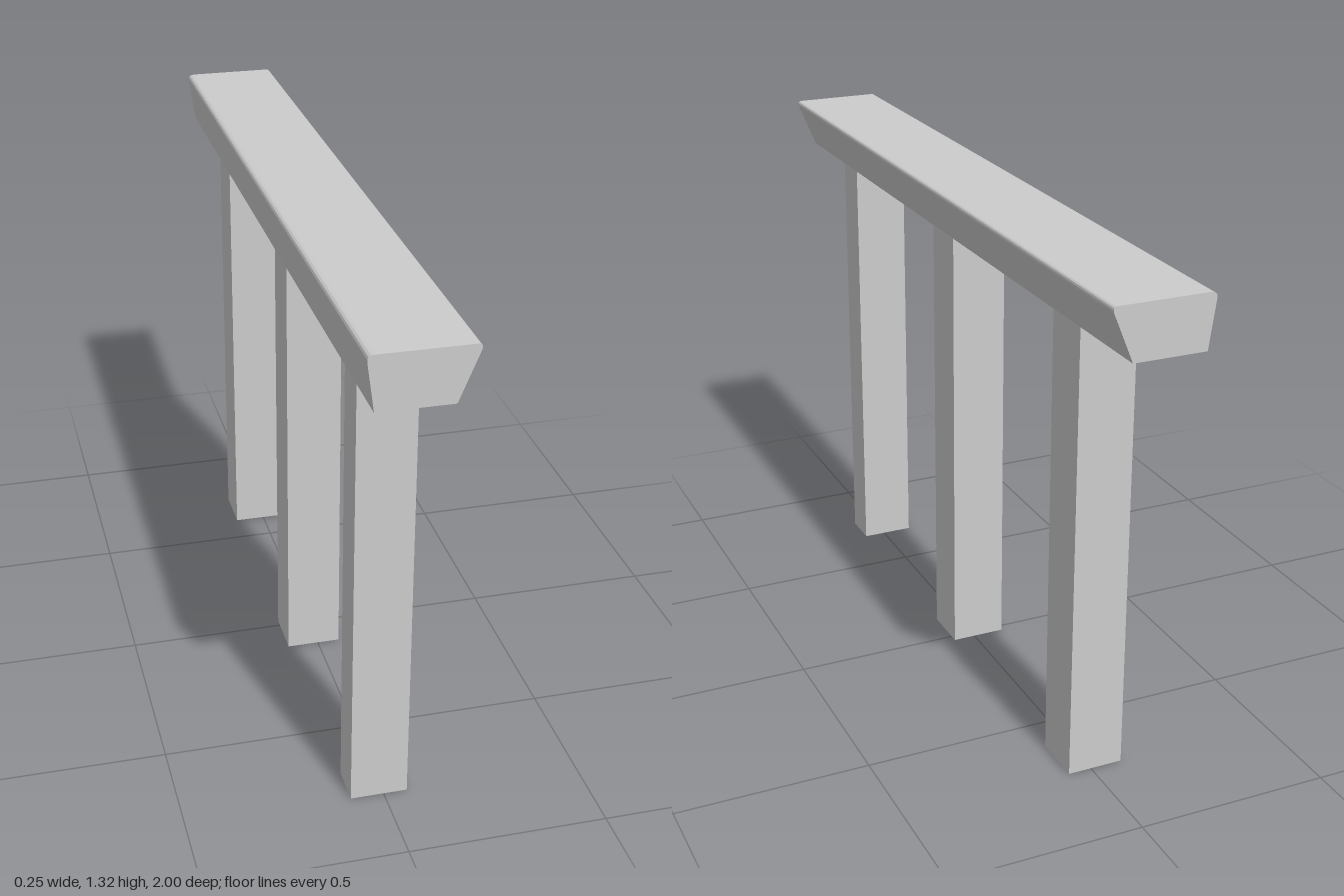
import * as THREE from 'three';

const RAIL_BOTTOM = 1.187;

export function createModel() {
  const model = new THREE.Group();
  const material = new THREE.MeshStandardMaterial({
    color: 0xcccccc, flatShading: true, side: THREE.DoubleSide,
  });

  // Handrail: lopsided trapezoid section with softened top corners, run along z
  const section = new THREE.Shape();
  section.moveTo(-0.107, RAIL_BOTTOM);
  section.lineTo(0.073, RAIL_BOTTOM);
  section.lineTo(0.122, 1.306);
  section.quadraticCurveTo(0.126, 1.32, 0.113, 1.32);
  section.lineTo(-0.108, 1.32);
  section.quadraticCurveTo(-0.126, 1.32, -0.123, 1.302);
  section.closePath();
  const railGeometry = new THREE.ExtrudeGeometry(section, {
    depth: 2, bevelEnabled: false, curveSegments: 4,
  });
  railGeometry.translate(0, 0, -1);
  const rail = new THREE.Mesh(railGeometry, material);
  rail.name = 'handrail';
  model.add(rail);

  // Posts: square tubes, open at the ends, each with its own depth along z
  const posts = [
    ['frontPost', 0.68, 0.78],
    ['middlePost', -0.022, 0.108],
    ['backPost', -0.735, -0.6],
  ];
  const [xMin, xMax] = [-0.084, 0.06];
  for (const [name, zMin, zMax] of posts) {
    const tube = new THREE.CylinderGeometry(Math.SQRT1_2, Math.SQRT1_2, 1, 4, 1, true);
    tube.rotateY(Math.PI / 4);
    tube.scale(xMax - xMin, RAIL_BOTTOM, zMax - zMin);
    const post = new THREE.Mesh(tube, material);
    post.name = name;
    post.position.set((xMin + xMax) / 2, RAIL_BOTTOM / 2, (zMin + zMax) / 2);
    model.add(post);
  }

  return model;
}
